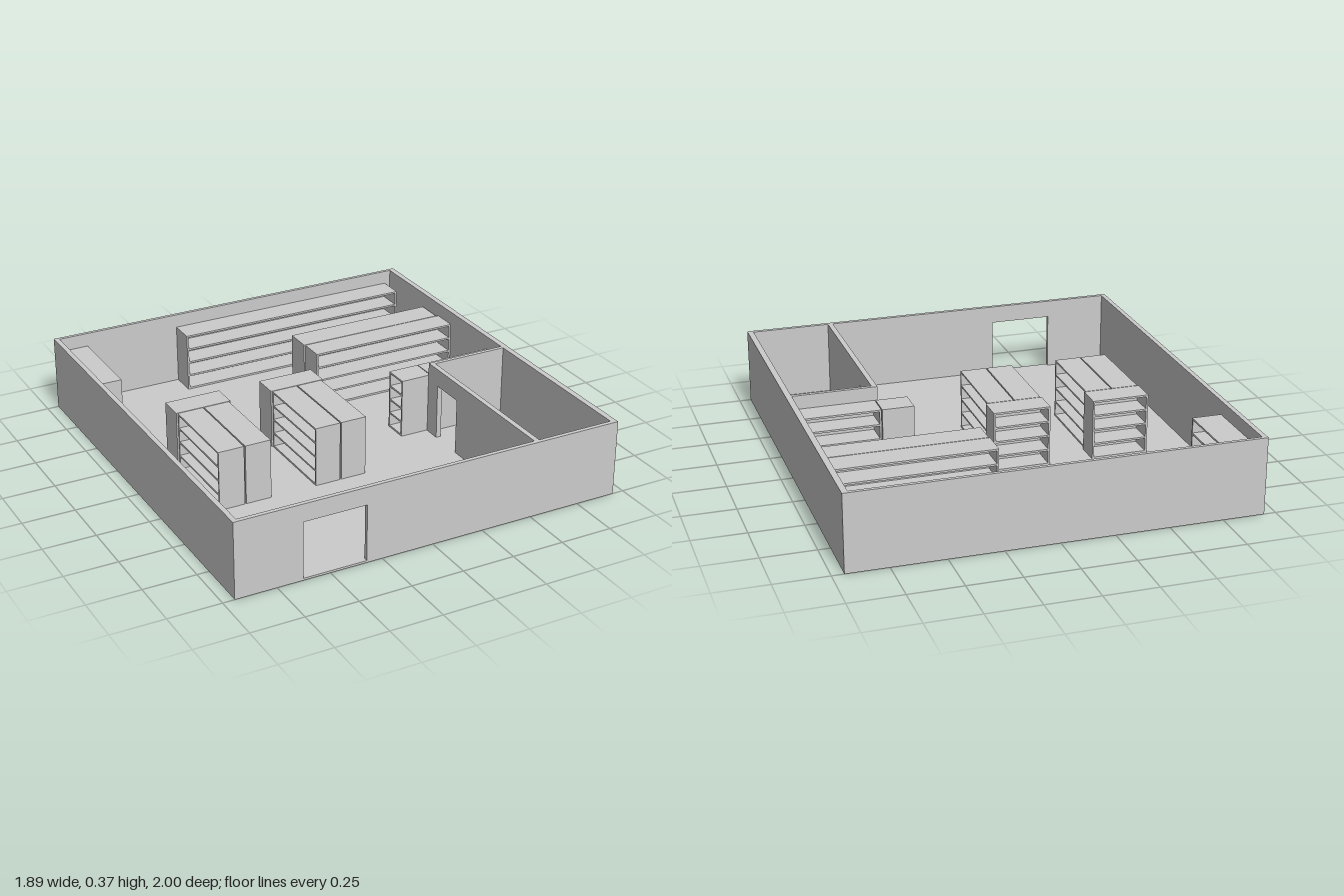
import * as THREE from 'three';

const H = 0.365, FLOOR = 0.01, SHELF_TOP = 0.3, DOOR_TOP = 0.28;
const material = new THREE.MeshStandardMaterial({ color: 0xcccccc, flatShading: true });

// Box given by its two opposite corners
function box(parent, name, [x0, y0, z0], [x1, y1, z1]) {
  const mesh = new THREE.Mesh(new THREE.BoxGeometry(x1 - x0, y1 - y0, z1 - z0), material);
  mesh.position.set((x0 + x1) / 2, (y0 + y1) / 2, (z0 + z1) / 2);
  mesh.name = name;
  parent.add(mesh);
}

// Wall panel of given length along x with a doorway from d0 to d1, extruded in z
function doorWall(name, length, depth, d0, d1) {
  const shape = new THREE.Shape([
    [0, 0], [d0, 0], [d0, DOOR_TOP - FLOOR], [d1, DOOR_TOP - FLOOR],
    [d1, 0], [length, 0], [length, H - FLOOR], [0, H - FLOOR],
  ].map(([x, y]) => new THREE.Vector2(x, y)));
  const mesh = new THREE.Mesh(
    new THREE.ExtrudeGeometry(shape, { depth, bevelEnabled: false }), material);
  mesh.name = name;
  return mesh;
}

// Open-fronted shelf unit filling a footprint; angle turns its open side from +z
function shelfUnit(name, x0, x1, z0, z1, angle) {
  const unit = new THREE.Group();
  unit.name = name;
  const sideways = Math.abs(Math.sin(angle)) > 0.5;
  const w = (sideways ? z1 - z0 : x1 - x0) / 2;
  const d = (sideways ? x1 - x0 : z1 - z0) / 2;
  const t = 0.009, h = SHELF_TOP - FLOOR, bays = 4;
  box(unit, 'backPanel', [-w + t, 0, -d], [w - t, h, -d + t]);
  box(unit, 'sidePanel', [-w, 0, -d], [-w + t, h, d]);
  box(unit, 'sidePanel', [w - t, 0, -d], [w, h, d]);
  for (let i = 0; i <= bays; i++) {
    const y = i * (h - t) / bays;
    box(unit, 'shelfBoard', [-w + t, y, -d + t], [w - t, y + t, d]);
  }
  unit.position.set((x0 + x1) / 2, FLOOR, (z0 + z1) / 2);
  unit.rotation.y = angle;
  return unit;
}

export function createModel() {
  const model = new THREE.Group();
  model.name = 'storeRoom';

  // Floor and outer walls
  box(model, 'floor', [-0.945, 0, -1], [0.945, FLOOR, 1]);
  box(model, 'leftWall', [0.917, FLOOR, -0.983], [0.945, H, 0.98]);
  box(model, 'rightWall', [-0.945, FLOOR, -0.983], [-0.922, H, 0.98]);
  box(model, 'backWall', [-0.945, FLOOR, -1], [0.945, H, -0.983]);
  const front = doorWall('frontWall', 1.89, 0.02, 0.318, 0.62);
  front.position.set(-0.945, FLOOR, 0.98);
  model.add(front);

  // Corner office with a doorway in its side wall
  box(model, 'officeBackWall', [0.515, FLOOR, 0.088], [0.917, H, 0.107]);
  const side = doorWall('officeSideWall', 0.873, 0.025, 0.638, 0.808);
  side.rotation.y = Math.PI / 2;
  side.position.set(0.515, FLOOR, 0.98);
  model.add(side);

  // Wall shelves and the back-to-back row beside the left wall
  const FRONT = 0, BACK = Math.PI, LEFT = Math.PI / 2, RIGHT = -Math.PI / 2;
  model.add(
    shelfUnit('rightWallShelf', -0.922, -0.782, -0.98, -0.553, LEFT),
    shelfUnit('backWallShelf', -0.308, 0.885, -0.98, -0.855, FRONT),
    shelfUnit('rowShelfRear', 0.155, 0.905, -0.622, -0.492, BACK),
    shelfUnit('rowShelfFront', 0.16, 0.916, -0.488, -0.367, FRONT),
    shelfUnit('officeShelf', 0.53, 0.916, -0.038, 0.085, BACK),
    shelfUnit('officeEndShelf', 0.375, 0.526, -0.038, 0.085, RIGHT),
  );

  // Two free-standing islands: a back-to-back pair with an end shelf
  for (const x of [-0.564, -0.083]) {
    const island = new THREE.Group();
    island.name = 'shelfIsland';
    island.add(
      shelfUnit('islandRightShelf', x - 0.128, x - 0.003, -0.107, 0.322, RIGHT),
      shelfUnit('islandLeftShelf', x + 0.003, x + 0.128, -0.107, 0.322, LEFT),
      shelfUnit('islandEndShelf', x - 0.134, x + 0.138, -0.234, -0.111, BACK),
    );
    model.add(island);
  }
  return model;
}
